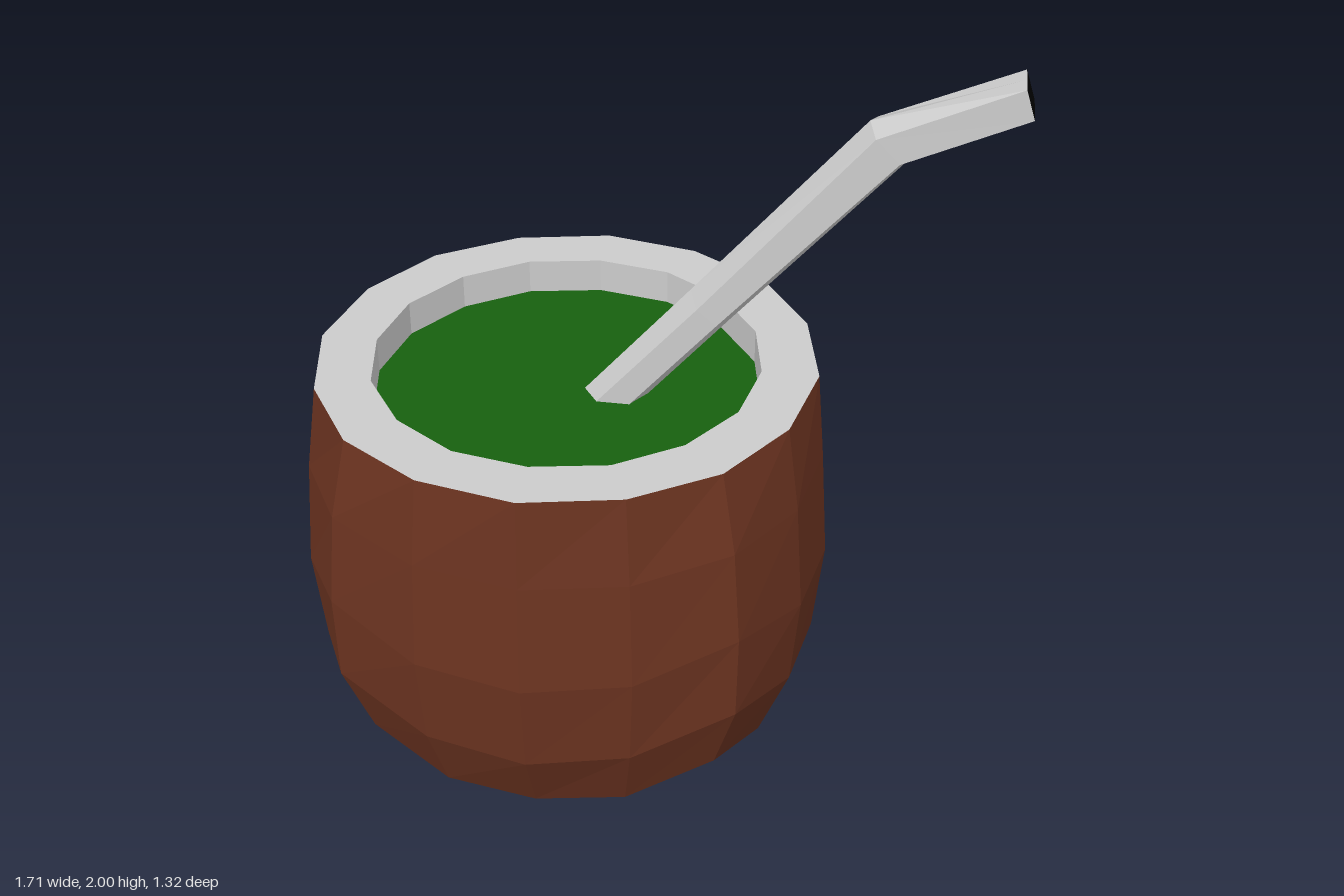
import * as THREE from 'three';

const CUP_X = -0.2;

// flat-shaded mesh from a list of quads / triangles (counter-clockwise corners)
function facets(name, faces, color) {
  const pos = [];
  for (const f of faces)
    for (let k = 1; k < f.length - 1; k++) pos.push(...f[0], ...f[k], ...f[k + 1]);
  const g = new THREE.BufferGeometry();
  g.setAttribute('position', new THREE.Float32BufferAttribute(pos, 3));
  g.computeVertexNormals();
  const mesh = new THREE.Mesh(g, new THREE.MeshStandardMaterial({ color, flatShading: true }));
  mesh.name = name;
  return mesh;
}

// A ring holds [major, minor, y] for the middle, quarter and corner of a rounded square.
function ringPoint(ring, i, j) {
  const [major, minor, y] = ring[Math.min(Math.abs(i), Math.abs(j))];
  const wide = Math.abs(i) >= Math.abs(j);
  const tall = Math.abs(j) >= Math.abs(i);
  return [CUP_X + Math.sign(i) * (wide ? major : minor), y, Math.sign(j) * (tall ? major : minor)];
}

// 16 points around the ring, walking +x -> -z -> -x -> +z
function loop(ring) {
  const pts = [];
  for (let side = 0; side < 4; side++)
    for (let t = -2; t < 2; t++) {
      let i = 2, j = -t;
      for (let s = 0; s < side; s++) [i, j] = [j, -i];
      pts.push(ringPoint(ring, i, j));
    }
  return pts;
}

// quads between consecutive loops; the outside faces out when the loops go upward
function skin(loops) {
  const faces = [];
  for (let r = 0; r < loops.length - 1; r++) {
    const a = loops[r], b = loops[r + 1], n = a.length;
    for (let k = 0; k < n; k++) faces.push([a[k], a[(k + 1) % n], b[(k + 1) % n], b[k]]);
  }
  return faces;
}

const flatRing = (m, qa, qb, c, y) => [[m, 0, y], [qa, qb, y], [c, c, y]];

export function createModel() {
  const model = new THREE.Group();

  // gourd: rounded-cube bottom grid plus rings up the sides
  const base = [[[0, 0, 0]], [[0.32, 0, 0.08], [0.29, 0.29, 0.125]],
    [[0.54, 0, 0.225], [0.525, 0.225, 0.25], [0.435, 0.435, 0.32]]];
  const sides = [
    base[2],
    [[0.635, 0, 0.43], [0.6, 0.25, 0.455], [0.49, 0.49, 0.53]],
    [[0.66, 0, 0.68], [0.62, 0.26, 0.7], [0.493, 0.493, 0.76]],
    [[0.64, 0, 0.97], [0.6, 0.252, 0.98], [0.475, 0.475, 1.0]],
    flatRing(0.62, 0.57, 0.24, 0.44, 1.2),
  ];
  const grid = (i, j) => ringPoint(base[Math.max(Math.abs(i), Math.abs(j))], i, j);
  const gourdFaces = skin(sides.map(loop));
  for (let i = -2; i < 2; i++)
    for (let j = -2; j < 2; j++)
      gourdFaces.push([grid(i, j), grid(i + 1, j), grid(i + 1, j + 1), grid(i, j + 1)]);
  model.add(facets('gourd', gourdFaces, 0x6b3320));

  // rim: flat top ring and the short inner wall
  const inner = (y) => loop(flatRing(0.48, 0.445, 0.185, 0.34, y));
  model.add(facets('rim', skin([loop(sides[4]), inner(1.2), inner(1.11)]), 0xcccccc));

  // drink surface
  model.add(facets('drink', [inner(1.11)], 0x17600f));

  // straw sections: centre, up direction, half width, side half height, ridge half height
  const sections = [
    [[-0.15, 1.025], [-0.76, 0.65], 0.055, 0.031, 0.06],
    [[0.15, 1.375], [-0.76, 0.65], 0.063, 0.031, 0.06],
    [[0.545, 1.835], [-0.707, 0.707], 0.062, 0.04, 0.064],
    [[0.8425, 1.965], [-0.32, 0.95], 0.055, 0.037, 0.037],
  ];
  const strawLoops = sections.map(([[x, y], [ux, uy], w, s, r]) =>
    [[0, r], [w, s], [w, -s], [0, -r], [-w, -s], [-w, s]].map(([z, h]) => [x + ux * h, y + uy * h, z]));
  model.add(facets('straw', skin(strawLoops), 0xcccccc));
  model.add(facets('strawOpening', [strawLoops[3]], 0x000000));

  return model;
}
